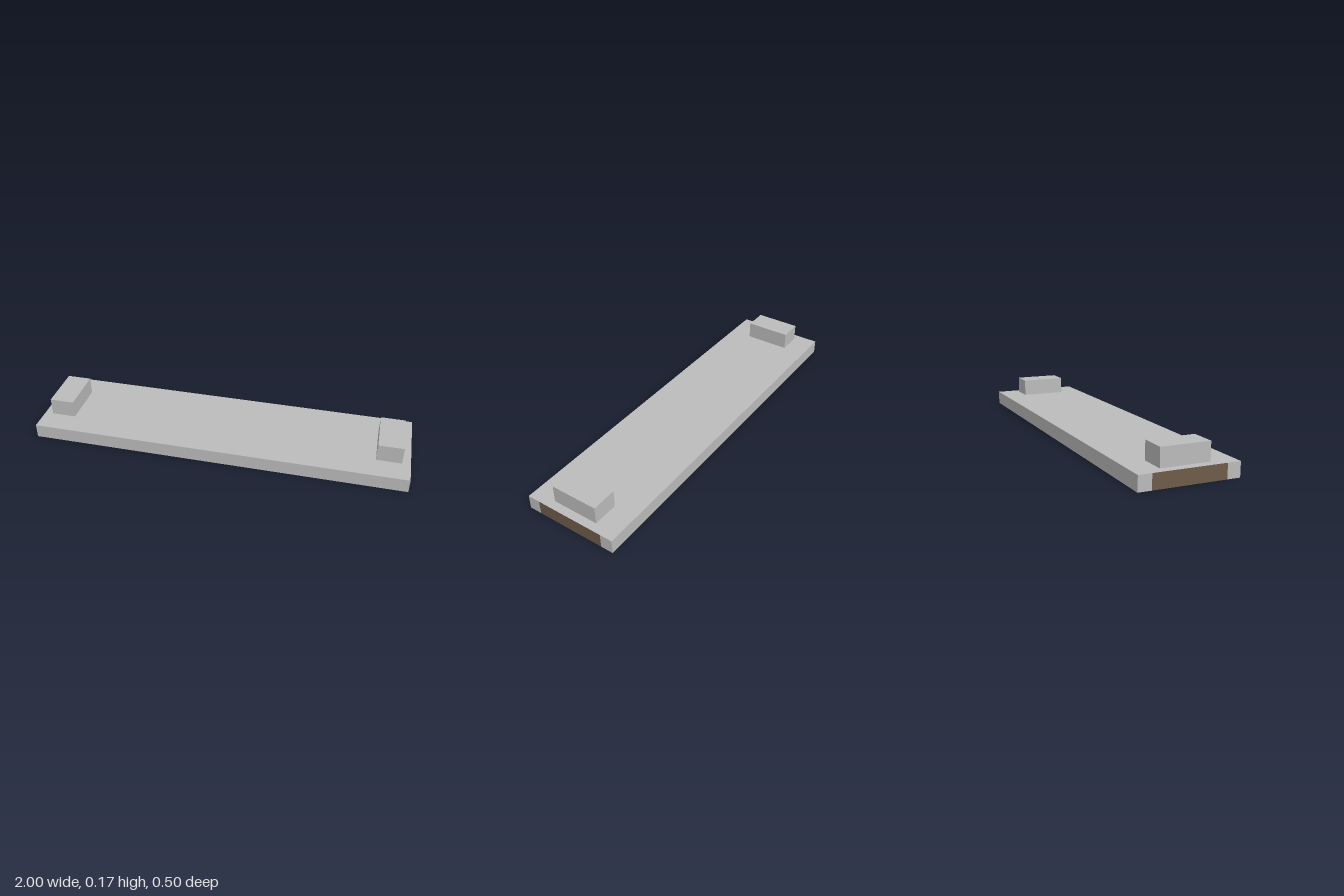
import * as THREE from 'three';

export function createModel() {
  const model = new THREE.Group();
  const grey = new THREE.MeshStandardMaterial({ color: 0xbbbbbb });
  grey.name = 'light grey';
  const brown = new THREE.MeshStandardMaterial({ color: 0x6e5b48 });
  brown.name = 'brown';

  const add = (name, geometry, material, x = 0, y = 0, z = 0) => {
    const mesh = new THREE.Mesh(geometry, material);
    mesh.name = name;
    mesh.position.set(x, y, z);
    model.add(mesh);
    return mesh;
  };

  const H = 0.075, D = 0.5, panel = 0.367, strip = (D - panel) / 2;
  const R = 0.055, sides = 8;

  // Slab top, front and back (the ends and underside are separate faces)
  const slab = new THREE.BoxGeometry(2, H, D);
  const index = Array.from(slab.index.array);
  slab.setIndex([...index.slice(12, 18), ...index.slice(24, 36)]);
  slab.clearGroups();
  add('slab', slab, grey, 0, H / 2);

  // Underside with a 7 by 3 grid of octagonal openings, each leading to a domed hollow
  const under = new THREE.Shape([[-1, -D / 2], [1, -D / 2], [1, D / 2], [-1, D / 2]]
    .map(([x, z]) => new THREE.Vector2(x, z)));
  const dome = new THREE.SphereGeometry(R, sides, 3, 0, Math.PI * 2, 0, Math.PI / 2)
    .scale(-1, 1, 1).toNonIndexed();
  // Mirroring reverses the corners, so the dome faces inward
  dome.computeVertexNormals();
  for (let i = -3; i <= 3; i++) {
    for (let j = -1; j <= 1; j++) {
      const x = i * 0.25, z = j * 0.125;
      const rim = [];
      for (let k = 0; k < sides; k++) {
        const a = -k / sides * Math.PI * 2;
        rim.push(new THREE.Vector2(x + R * Math.cos(a), z + R * Math.sin(a)));
      }
      under.holes.push(new THREE.Path(rim));
      add('domedHollow', dome, grey, x, 0, z);
    }
  }
  add('underside', new THREE.ShapeGeometry(under).rotateX(Math.PI / 2), grey);

  for (const side of [-1, 1]) {
    // End faces: a brown panel between two grey strips
    const endFace = (name, width, material, z) =>
      add(name, new THREE.PlaneGeometry(width, H).rotateY(side * Math.PI / 2), material, side, H / 2, z);
    endFace('endPanel', panel, brown, 0);
    for (const s of [-1, 1]) endFace('endStrip', strip, grey, s * (panel + strip) / 2);

    // Raised block near each end
    add('endBlock', new THREE.BoxGeometry(0.131, 0.093, 0.249), grey, side * 0.89, H + 0.0465);
  }
  return model;
}
